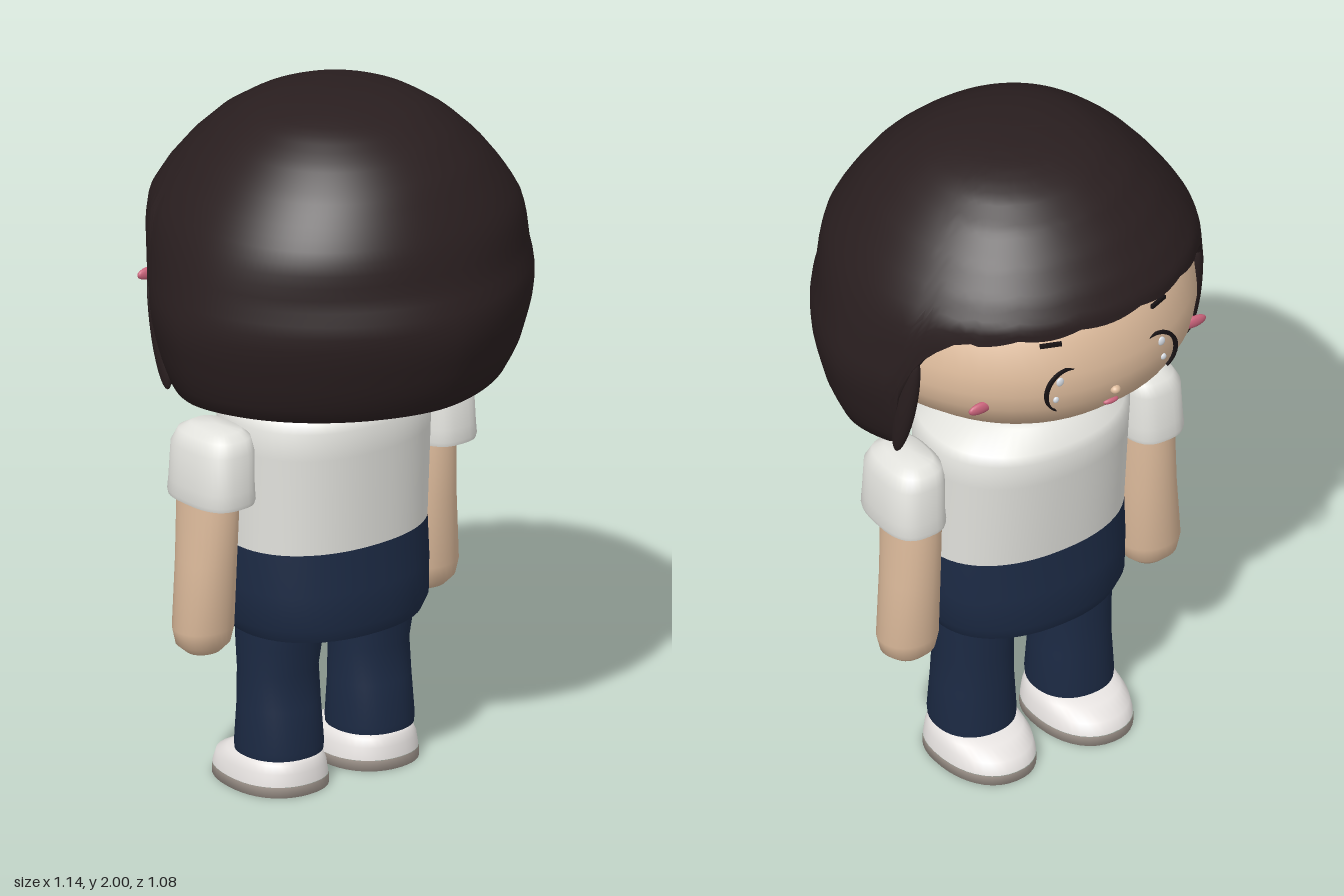
import * as THREE from 'three';
import { toCreasedNormals } from 'three/addons/utils/BufferGeometryUtils.js';

const flat = (name, color) => {
  const m = new THREE.MeshStandardMaterial({ color });
  m.name = name;
  return m;
};

// Superellipse point: half width hx, z reach zb (positive side) and zf (negative side) about cz
function ringPoint(u, hx, zb, zf, e, cz = 0, cx = 0) {
  const c = Math.cos(u), s = Math.sin(u), p = 2 / e;
  const x = Math.sign(c) * Math.abs(c) ** p * hx;
  const z = Math.abs(s) ** p * (s > 0 ? zb - cz : zf - cz);
  return [cx + x, cz + z];
}

// Skin a closed grid of rings, listed from top to bottom
function skinGrid(rows, cols, point, crease) {
  const pos = [], idx = [];
  for (let r = 0; r < rows; r++)
    for (let c = 0; c < cols; c++) pos.push(...point(r, (c / cols) * Math.PI * 2));
  for (let r = 0; r < rows - 1; r++)
    for (let c = 0; c < cols; c++) {
      const a = r * cols + c, b = r * cols + ((c + 1) % cols);
      idx.push(a, b, a + cols, b, b + cols, a + cols);
    }
  const g = new THREE.BufferGeometry();
  g.setAttribute('position', new THREE.Float32BufferAttribute(pos, 3));
  g.setIndex(idx);
  return toCreasedNormals(g, crease);
}

// Section: [y, half width, z back, z face side, x centre]
function loft(sections, { e = 2, cz = 0, cols = 40, crease = 0.75 } = {}) {
  return skinGrid(sections.length, cols, (r, u) => {
    const [y, hx, zb, zf, cx = 0] = sections[r];
    const [x, z] = ringPoint(u, hx, zb, zf, e, cz, cx);
    return [x, y, z];
  }, crease);
}

// Linear lookup in rows sorted by rising first value
function lookup(table, v) {
  if (v <= table[0][0]) return table[0].slice(1);
  for (let i = 1; i < table.length; i++)
    if (v <= table[i][0]) {
      const a = table[i - 1], b = table[i], t = (v - a[0]) / (b[0] - a[0]);
      return a.slice(1).map((q, k) => q + (b[k + 1] - q) * t);
    }
  return table[table.length - 1].slice(1);
}

// Bob haircut: dome with a hem that rises to a fringe over the face, rolled inward
function hairGeometry() {
  const profile = [
    [1.17, 0.48, 0.41, -0.39], [1.205, 0.51, 0.455, -0.42], [1.28, 0.54, 0.495, -0.45],
    [1.385, 0.566, 0.53, -0.48], [1.45, 0.57, 0.54, -0.5], [1.5, 0.559, 0.533, -0.51],
    [1.565, 0.543, 0.502, -0.515], [1.63, 0.522, 0.486, -0.516], [1.69, 0.494, 0.466, -0.51],
    [1.755, 0.453, 0.432, -0.473], [1.83, 0.394, 0.384, -0.413], [1.9, 0.322, 0.315, -0.34],
    [1.95, 0.25, 0.24, -0.263], [1.97, 0.205, 0.192, -0.216], [1.985, 0.152, 0.14, -0.165],
    [1.996, 0.085, 0.075, -0.095], [2, 0, 0, 0],
  ];
  const hemLine = [
    [0.3, 1.2], [0.36, 1.215], [0.45, 1.5], [0.51, 1.58], [0.61, 1.635], [0.72, 1.652], [1, 1.668],
  ];
  // Cross-section roundness by height
  const roundness = [[1.42, 1.76], [1.54, 1.85], [1.68, 2.15]];
  const roll = [[-0.012, 0.965], [0.005, 0.92], [0.2, 0.87], [0.3, 0.6]];
  const outer = 32;
  return skinGrid(outer + 1 + roll.length, 144, (r, u) => {
    const w = Math.max(0, -Math.sin(u)) ** 1.12;
    let [hem] = lookup(hemLine, w);
    if (w > 0.7) hem -= 0.012 * Math.abs(Math.sin(u * 9));
    let y, k = 1;
    if (r <= outer) y = 2 - (2 - hem) * (1 - Math.cos((r / outer) * Math.PI / 2));
    else {
      const [dy, scale] = roll[r - outer - 1];
      y = hem + dy;
      k = scale;
    }
    const [hx, zb, zf] = lookup(profile, y);
    const [e] = lookup(roundness, y);
    const [x, z] = ringPoint(u, hx * k, zb * k, zf * k, e);
    return [x, y, z];
  }, 0.9);
}

// Crescent lash line, open toward the nose
function eyeGeometry(s) {
  const outer = [], inner = [];
  for (let i = 0; i <= 16; i++) {
    const a = THREE.MathUtils.degToRad(115 - i * 11), bulge = 0.008 * Math.sin((i / 16) * Math.PI);
    outer.push(new THREE.Vector2(s * (0.15 + 0.066 * Math.cos(a)), 1.485 + 0.068 * Math.sin(a)));
    inner.unshift(new THREE.Vector2(
      s * (0.15 + (0.063 - bulge) * Math.cos(a)), 1.485 + (0.065 - bulge) * Math.sin(a)));
  }
  return new THREE.ExtrudeGeometry(new THREE.Shape([...outer, ...inner]), { depth: 0.009, bevelEnabled: false });
}

export function createModel() {
  const model = new THREE.Group();
  const hair = flat('dark brown hair', 0x291e1f), skin = flat('skin', 0xdcba9b);
  const white = flat('shirt white', 0xe3e3de), navy = flat('navy cloth', 0x1c2a44);
  const shoeWhite = flat('shoe white', 0xe8e4e2), soleGrey = flat('sole grey', 0xa99e95);
  const pink = flat('cheek pink', 0xc8627a), black = flat('lash black', 0x171214);
  const glint = flat('eye glint', 0xd8dde4);

  const add = (name, geo, mat, x = 0, y = 0, z = 0) => {
    const m = new THREE.Mesh(geo, mat);
    m.name = name;
    m.position.set(x, y, z);
    model.add(m);
    return m;
  };
  const blob = (name, mat, p, size) =>
    add(name, new THREE.SphereGeometry(1, 20, 14), mat, ...p).scale.set(...size);

  // Head and neck
  add('head', loft([
    [1.79, 0, 0, 0], [1.75, 0.3, 0.3, -0.36], [1.69, 0.41, 0.4, -0.46], [1.62, 0.46, 0.42, -0.502],
    [1.53, 0.492, 0.44, -0.53], [1.47, 0.5, 0.44, -0.53], [1.42, 0.493, 0.43, -0.521], [1.36, 0.465, 0.4, -0.488],
    [1.305, 0.4, 0.34, -0.43], [1.27, 0.31, 0.25, -0.33], [1.245, 0.22, 0.16, -0.25], [1.235, 0, 0, 0],
  ], { e: 2.05, cols: 64, crease: 1 }), skin);
  add('neck', loft([
    [1.28, 0.2, 0.12, -0.27], [1.2, 0.185, 0.11, -0.25], [1.13, 0.19, 0.11, -0.24],
  ], { cz: -0.065 }), skin);

  // Hair
  add('hair', hairGeometry(), hair);

  // Face details
  blob('nose', skin, [0, 1.435, -0.526], [0.015, 0.013, 0.014]);
  blob('mouth', pink, [0, 1.383, -0.503], [0.024, 0.009, 0.01]);

  // Shirt and its navy lower half
  add('shirt', loft([
    [1.165, 0, -0.06, -0.06], [1.165, 0.17, 0.115, -0.245], [1.155, 0.2, 0.13, -0.26], [1.105, 0.29, 0.185, -0.305],
    [1.08, 0.305, 0.195, -0.315], [1.0, 0.303, 0.188, -0.306], [0.72, 0.3, 0.168, -0.27],
  ], { e: 2.2, cz: -0.06, cols: 56 }), white);
  add('shorts', loft([
    [0.72, 0.3, 0.168, -0.27], [0.6, 0.303, 0.176, -0.275], [0.5, 0.298, 0.181, -0.281], [0.462, 0.278, 0.167, -0.266],
    [0.465, 0.265, 0.155, -0.255], [0.5, 0.26, 0.15, -0.25], [0.5, 0, -0.05, -0.05],
  ], { e: 2.2, cz: -0.06, cols: 56 }), navy);

  for (const s of [1, -1]) {
    const side = s > 0 ? 'left' : 'right';

    // Side lock, eye, brow and cheek
    const lock = add(side + 'SideLock', new THREE.SphereGeometry(1, 20, 16), hair, s * 0.464, 1.37, -0.197);
    lock.scale.set(0.026, 0.185, 0.034);
    lock.rotation.set(-0.22, 0, s * 0.03);
    add(side + 'Eye', eyeGeometry(s), black, 0, 0, -0.509);
    blob(side + 'EyeGlintUpper', glint, [s * 0.165, 1.515, -0.503], [0.012, 0.014, 0.006]);
    blob(side + 'EyeGlintLower', glint, [s * 0.175, 1.455, -0.498], [0.009, 0.01, 0.006]);
    add(side + 'Brow', new THREE.BoxGeometry(0.06, 0.011, 0.009), black, s * 0.175, 1.626, -0.472).rotation.y = s * -0.36;
    blob(side + 'Cheek', pink, [s * 0.347, 1.43, -0.388], [0.04, 0.018, 0.011]);

    // Arm with rounded hand
    add(side + 'Arm', loft([
      [0.95, 0.07, -0.005, -0.185, s * 0.379], [0.88, 0.076, 0.004, -0.19, s * 0.38],
      [0.7, 0.08, -0.008, -0.184, s * 0.385], [0.5, 0.088, -0.022, -0.176, s * 0.394],
      [0.455, 0.078, -0.032, -0.168, s * 0.394], [0.43, 0.05, -0.055, -0.143, s * 0.393],
      [0.415, 0, -0.098, -0.098, s * 0.392],
    ], { e: 2.1, cz: -0.096, cols: 28, crease: 0.9 }), skin);

    // Puffed sleeve with an open cuff
    add(side + 'Sleeve', loft([
      [1.093, 0, -0.07, -0.07, s * 0.37], [1.088, 0.05, 0.01, -0.15, s * 0.372],
      [1.072, 0.074, 0.04, -0.178, s * 0.378], [1.035, 0.087, 0.056, -0.192, s * 0.385],
      [0.93, 0.089, 0.06, -0.197, s * 0.388], [0.895, 0.092, 0.062, -0.2, s * 0.388],
      [0.883, 0.089, 0.059, -0.198, s * 0.388],
      [0.885, 0.08, 0.045, -0.19, s * 0.388], [0.93, 0.065, 0.02, -0.17, s * 0.388],
    ], { e: 2.8, cz: -0.07, cols: 36, crease: 0.9 }), white);

    // Trouser leg
    add(side + 'Leg', loft([
      [0.53, 0.119, 0.057, -0.172], [0.42, 0.117, 0.054, -0.172], [0.34, 0.111, 0.036, -0.171],
      [0.24, 0.113, 0.047, -0.17], [0.12, 0.119, 0.06, -0.178], [0.1, 0.117, 0.058, -0.177], [0.1, 0, -0.06, -0.06],
    ], { e: 2.2, cz: -0.06 }), navy, s * 0.159);

    // Shoe upper and sole
    add(side + 'Shoe', loft([
      [0.1, 0, -0.06, -0.06], [0.1, 0.108, 0.052, -0.17], [0.088, 0.12, 0.06, -0.215],
      [0.065, 0.13, 0.067, -0.265], [0.03, 0.136, 0.07, -0.278],
    ], { e: 2.2, cz: -0.08, crease: 1.3 }), shoeWhite, s * 0.158);
    add(side + 'Sole', loft([
      [0.03, 0.137, 0.072, -0.28], [0, 0.137, 0.073, -0.28], [0, 0, -0.08, -0.08],
    ], { e: 2.2, cz: -0.08, crease: 3 }), soleGrey, s * 0.158);
  }
  return model;
}
